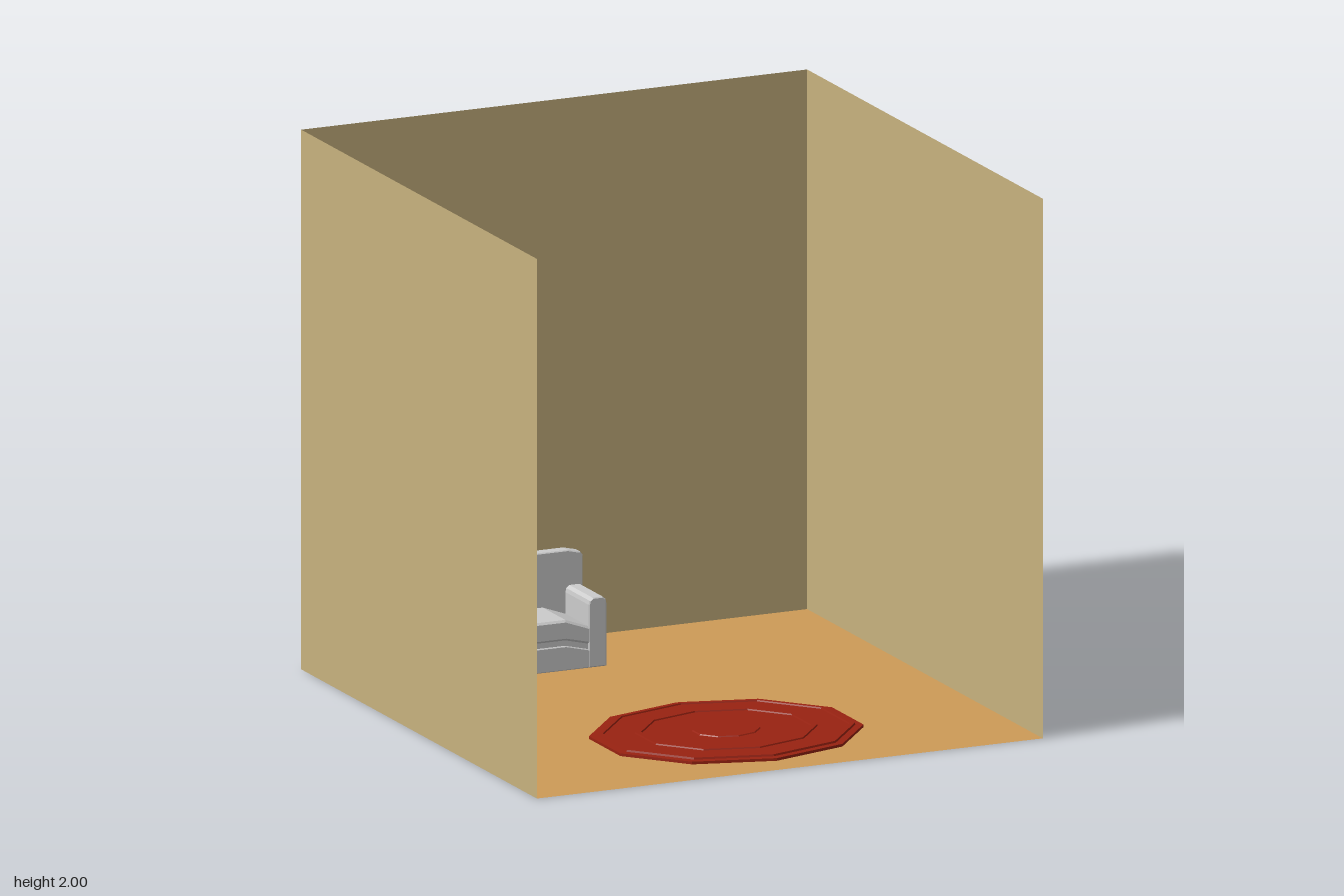
import * as THREE from 'three';

const paint = (name, color, side = THREE.FrontSide) => {
  const m = new THREE.MeshStandardMaterial({ color, side, flatShading: true });
  m.name = name;
  return m;
};

export function createModel() {
  const wallPaint = paint('tan wall', 0xc8b27e, THREE.DoubleSide);
  const floorWood = paint('floor wood', 0xce9b57, THREE.DoubleSide);
  const fabric = paint('grey fabric', 0xcccccc);
  const rugRed = paint('rug red', 0x992211);

  const room = new THREE.Group();
  room.name = 'room';
  const add = (parent, name, geometry, material) => {
    const mesh = new THREE.Mesh(geometry, material);
    mesh.name = name;
    parent.add(mesh);
    return mesh;
  };

  // Floor and three walls, open at the front and top
  const panel = () => new THREE.PlaneGeometry(2, 2);
  add(room, 'floor', panel().rotateX(-Math.PI / 2), floorWood);
  add(room, 'backWall', panel().translate(0, 1, -1), wallPaint);
  for (const [name, s] of [['leftWall', 1], ['rightWall', -1]]) {
    add(room, name, panel().rotateY(-s * Math.PI / 2).translate(s, 1, 0), wallPaint);
  }

  // Ten-sided rug with stepped bands, slightly wider than deep
  const rugProfile = [
    [0, 0.002], [0.43, 0.002], [0.43, 0.012], [0.405, 0.013], [0.403, 0.02],
    [0.387, 0.02], [0.385, 0.015], [0.287, 0.015], [0.285, 0.02],
    [0.267, 0.02], [0.265, 0.015], [0.108, 0.015], [0.105, 0.019], [0, 0.019],
  ].map(([r, y]) => new THREE.Vector2(r, y));
  const rug = add(room, 'rug', new THREE.LatheGeometry(rugProfile, 10), rugRed);
  rug.scale.x = 1.175;
  rug.position.z = 0.46;

  // Sofa, modelled around its own centre line
  const sofa = new THREE.Group();
  sofa.name = 'sofa';
  sofa.position.x = -0.385;
  room.add(sofa);

  // Extrudes an outline between two depths with a small chamfer
  const slab = (points, z0, z1, bevel = 0.006) => new THREE.ExtrudeGeometry(
    new THREE.Shape(points.map(([x, y]) => new THREE.Vector2(x, y))),
    {
      depth: z1 - z0 - 2 * bevel, bevelEnabled: true, bevelThickness: bevel,
      bevelSize: bevel, bevelOffset: -bevel, bevelSegments: 1,
    },
  ).translate(0, 0, z0 + bevel);

  // Right-to-left wavy edge: two humps with a dip between them
  const wave = (end, high, dip) => [
    [0.34, end], [0.325, end], [0.235, high], [0.08, high], [0, dip],
    [-0.08, high], [-0.235, high], [-0.325, end], [-0.34, end],
  ];

  // Backrest with a shallow central dip
  add(sofa, 'backrest', slab([
    [-0.395, 0.002], [0.395, 0.002], [0.395, 0.365], [0.385, 0.378], [0.335, 0.39],
    [0.17, 0.39], [0.08, 0.37], [-0.08, 0.37], [-0.17, 0.39], [-0.335, 0.39],
    [-0.385, 0.378], [-0.395, 0.365],
  ], -0.82, -0.775, 0.004), fabric);

  // Base skirt, recessed gap and seat cushions
  add(sofa, 'base', slab([
    [-0.34, 0.002], [0.34, 0.002], ...wave(0.07, 0.092, 0.07),
  ], -0.79, -0.576, 0.003), fabric);
  add(sofa, 'seatGap', new THREE.BoxGeometry(0.68, 0.11, 0.2)
    .translate(0, 0.075, -0.684), fabric);
  add(sofa, 'seatCushions', slab([
    ...wave(0.155, 0.188, 0.155), ...wave(0.09, 0.112, 0.09).reverse(),
  ], -0.79, -0.576, 0.008), fabric);

  // Arms with rounded, chamfered tops
  for (const [name, s] of [['leftArm', 1], ['rightArm', -1]]) {
    const outline = [
      [-0.035, 0.002], [0.035, 0.002], [0.035, 0.235], [0.032, 0.25], [0.02, 0.26],
      [-0.02, 0.26], [-0.032, 0.25], [-0.035, 0.235],
    ];
    add(sofa, name, slab(outline, -0.79, -0.575, 0.004).translate(s * 0.36, 0, 0), fabric);
  }

  return room;
}
